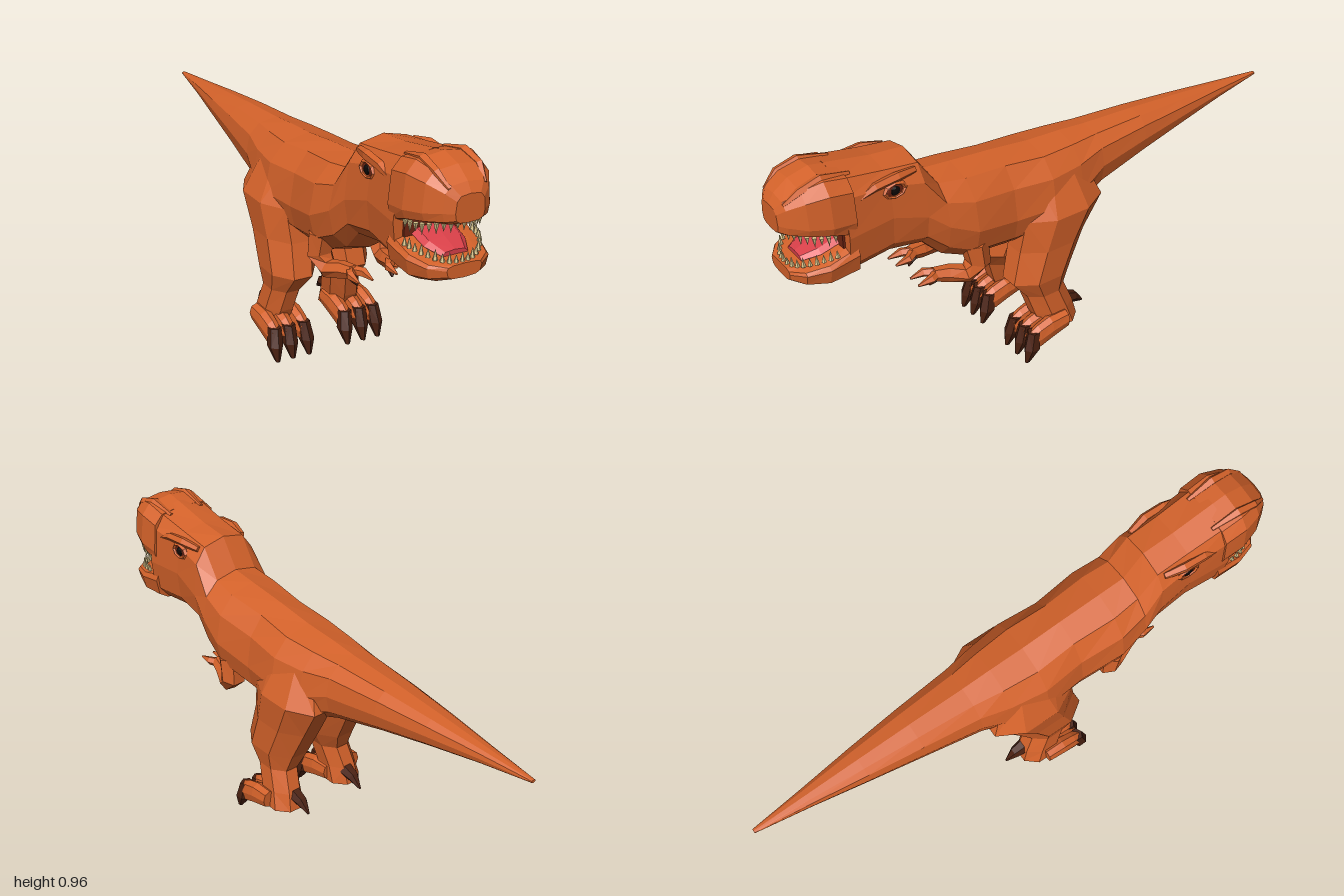
import * as THREE from 'three';

const mat = (color, side = THREE.FrontSide) => new THREE.MeshStandardMaterial({ color, flatShading: true, side });
const SKIN = mat(0xd4622a), CLAW = mat(0x4a2010), TOOTH = mat(0xd8c48a),
  TONGUE = mat(0xd83f48), LINING = mat(0x6e2412), BLACK = mat(0x0c0806);

// Skin between rings of equal point count, with fan caps; faces are turned outward by signed volume
function loft(rings) {
  const n = rings[0].length, pos = [], idx = [];
  rings.forEach(r => r.forEach(p => pos.push(...p)));
  for (let i = 0; i < rings.length - 1; i++)
    for (let j = 0; j < n; j++) {
      const a = i * n + j, b = i * n + (j + 1) % n;
      idx.push(a, b, a + n, b, b + n, a + n);
    }
  const last = (rings.length - 1) * n;
  for (let j = 1; j < n - 1; j++) idx.push(0, j + 1, j, last, last + j, last + j + 1);
  const v = i => new THREE.Vector3().fromArray(pos, i * 3);
  let volume = 0;
  for (let i = 0; i < idx.length; i += 3) volume += v(idx[i]).dot(v(idx[i + 1]).cross(v(idx[i + 2])));
  if (volume < 0) idx.reverse();
  const g = new THREE.BufferGeometry();
  g.setAttribute('position', new THREE.Float32BufferAttribute(pos, 3));
  g.setIndex(idx);
  g.computeVertexNormals();
  return g;
}

function add(parent, name, geometry, material) {
  const m = new THREE.Mesh(geometry, material);
  m.name = name;
  parent.add(m);
  return m;
}

const pw = (v, e) => Math.sign(v) * Math.pow(Math.abs(v), e);

// Upright ring: half width w, separate heights above and below the widest level; small e is squarer
function ringZ([z, top, bottom, w, mid = (top + bottom) / 2, e = 0.85], x = 0, n = 12) {
  return Array.from({ length: n }, (_, i) => {
    const a = (i / n) * Math.PI * 2, s = pw(Math.sin(a), e);
    return [x + w * pw(Math.cos(a), e), mid + s * (s > 0 ? top - mid : mid - bottom), z];
  });
}

// Level ring from its inner, outer, back and front limits
function ringY([y, xin, xout, zb, zf], side, n = 8) {
  return Array.from({ length: n }, (_, i) => {
    const a = ((i + 0.5) / n) * Math.PI * 2;
    return [side * ((xin + xout) / 2 + (xout - xin) / 2 * Math.cos(a) * 1.08),
      y, (zb + zf) / 2 + (zf - zb) / 2 * Math.sin(a) * 1.08];
  });
}

// Limb along a path of [x, y, z, radius]
function limb(path, side, n = 6) {
  const pts = path.map(p => new THREE.Vector3(side * p[0], p[1], p[2]));
  return loft(path.map((p, i) => {
    const dir = pts[Math.min(i + 1, pts.length - 1)].clone().sub(pts[Math.max(i - 1, 0)]).normalize();
    const u = new THREE.Vector3(1, 0, 0).addScaledVector(dir, -dir.x).normalize();
    const w = dir.clone().cross(u);
    return Array.from({ length: n }, (_, j) => {
      const a = (j / n) * Math.PI * 2;
      return pts[i].clone().addScaledVector(u, p[3] * Math.cos(a)).addScaledVector(w, p[3] * Math.sin(a)).toArray();
    });
  }));
}

function addLeg(parent, side) {
  const leg = new THREE.Group();
  leg.name = side > 0 ? 'leftLeg' : 'rightLeg';
  parent.add(leg);
  add(leg, 'thighAndShin', loft([
    [0.68, 0.05, 0.125, -0.10, 0.10], [0.54, 0.02, 0.193, -0.16, 0.16], [0.42, 0.008, 0.185, -0.09, 0.18],
    [0.30, 0.022, 0.187, -0.03, 0.21], [0.23, 0.058, 0.175, 0, 0.155],
    [0.15, 0.07, 0.185, -0.03, 0.13], [0.085, 0.07, 0.195, -0.045, 0.10]
  ].map(r => ringY(r, side))), SKIN);
  // Three front toes, each ending in a hooked claw
  [0.083, 0.14, 0.193].forEach((x, i) => {
    const spread = (i - 1) * 0.006;
    add(leg, 'toe', loft([
      [0.03, 0.15, 0.085, 0.028], [0.10, 0.15, 0.065, 0.03], [0.15, 0.135, 0.045, 0.027], [0.185, 0.115, 0.05, 0.022]
    ].map(r => ringZ(r, side * x, 8))), SKIN);
    add(leg, 'claw', loft([
      [0.118, x - 0.022, x + 0.022, 0.145, 0.188], [0.055, x - 0.025 + spread, x + 0.025 + spread, 0.15, 0.208],
      [0.002, x - 0.008 + spread, x + 0.008 + spread, 0.192, 0.209]
    ].map(r => ringY(r, side, 6))), CLAW);
  });
  add(leg, 'heelClaw', limb([[0.12, 0.135, -0.02, 0.028], [0.12, 0.125, -0.06, 0.022], [0.12, 0.092, -0.10, 0.004]], side), CLAW);
}

function addArm(parent, side) {
  const arm = new THREE.Group();
  arm.name = side > 0 ? 'leftArm' : 'rightArm';
  parent.add(arm);
  add(arm, 'upperArmAndForearm', limb([
    [0.11, 0.53, 0.35, 0.05], [0.115, 0.45, 0.34, 0.045], [0.105, 0.41, 0.38, 0.034],
    [0.085, 0.425, 0.44, 0.03], [0.075, 0.435, 0.49, 0.024]], side), SKIN);
  [0.045, 0.095].forEach(x => {
    add(arm, 'finger', limb([[0.075, 0.435, 0.47, 0.018], [x, 0.435, 0.51, 0.016], [x, 0.43, 0.56, 0.004]], side, 5), SKIN);
  });
  add(arm, 'thumbClaw', limb([[0.075, 0.425, 0.46, 0.016], [0.07, 0.405, 0.49, 0.012], [0.065, 0.39, 0.50, 0.003]], side, 5), CLAW);
}

function addEye(parent, side) {
  const eye = new THREE.Group();
  eye.name = side > 0 ? 'leftEye' : 'rightEye';
  eye.position.set(side * 0.116, 0.842, 0.635);
  parent.add(eye);
  const lid = add(eye, 'eyelid', new THREE.TorusGeometry(0.034, 0.009, 4, 8).rotateY(Math.PI / 2), SKIN);
  lid.scale.set(1, 0.72, 1.1);
  const socket = add(eye, 'eyeSocket', new THREE.SphereGeometry(0.032, 8, 6), LINING);
  socket.scale.set(0.22, 0.7, 1.1);
  const ball = add(eye, 'eyeball', new THREE.SphereGeometry(0.02, 8, 6), BLACK);
  ball.scale.set(0.55, 0.9, 1);
  // Ridge above the eye
  add(parent, 'brow', limb([[0.095, 0.875, 0.55, 0.012], [0.11, 0.882, 0.62, 0.017],
    [0.112, 0.875, 0.70, 0.016], [0.115, 0.85, 0.77, 0.006]], side, 5), SKIN);
}

function addTeeth(parent, name, baseY, rise, dir) {
  const row = new THREE.Group();
  row.name = name;
  parent.add(row);
  const count = 19;
  for (let i = 0; i < count; i++) {
    const a = (i / (count - 1) - 0.5) * Math.PI * 0.98, s = Math.sin(a);
    const h = i % 2 ? 0.036 : 0.028;
    const t = add(row, 'tooth', new THREE.ConeGeometry(0.0085, h, 5), TOOTH);
    if (dir < 0) t.rotation.x = Math.PI;
    t.position.set(0.118 * s, baseY + rise * s * s + dir * h * 0.4, 0.845 + 0.128 * Math.cos(a));
  }
}

export function createModel() {
  const model = new THREE.Group();
  model.name = 'dinosaur';

  // Tail, trunk, neck and skull in one skin
  add(model, 'body', loft([
    [-1, 0.685, 0.675, 0.008], [-0.8, 0.70, 0.643, 0.035], [-0.6, 0.716, 0.605, 0.065],
    [-0.4, 0.73, 0.562, 0.092], [-0.19, 0.74, 0.508, 0.118], [-0.08, 0.75, 0.47, 0.145, 0.58],
    [0.05, 0.757, 0.435, 0.165, 0.57], [0.2, 0.775, 0.43, 0.15, 0.57], [0.36, 0.79, 0.45, 0.165, 0.60],
    [0.46, 0.80, 0.495, 0.15, 0.65], [0.53, 0.905, 0.575, 0.135, 0.71, 0.7],
    [0.65, 0.917, 0.597, 0.127, 0.75, 0.6], [0.81, 0.948, 0.58, 0.134, 0.74, 0.6]
  ].map(r => ringZ(r))), SKIN);

  add(model, 'upperJaw', loft([
    [0.78, 0.94, 0.72, 0.136, 0.79, 0.55], [0.86, 0.957, 0.757, 0.138, 0.80, 0.55], [0.93, 0.94, 0.772, 0.116, 0.81, 0.55],
    [0.98, 0.905, 0.78, 0.08, 0.82, 0.55], [1.0, 0.875, 0.787, 0.05, 0.82, 0.6]
  ].map(r => ringZ(r))), SKIN);

  add(model, 'lowerJaw', loft([
    [0.78, 0.705, 0.582, 0.136, 0.67, 0.6], [0.88, 0.672, 0.575, 0.132, 0.65, 0.6],
    [0.95, 0.66, 0.595, 0.108, 0.645, 0.6], [0.985, 0.655, 0.61, 0.06, 0.64, 0.6]
  ].map(r => ringZ(r))), SKIN);

  // Mouth interior
  add(model, 'mouthLining', new THREE.BoxGeometry(0.2, 0.075, 0.02).translate(0, 0.728, 0.808), LINING);
  add(model, 'tongue', loft([
    [0.80, 0.722, 0.68, 0.075], [0.88, 0.698, 0.66, 0.072], [0.935, 0.678, 0.65, 0.045]
  ].map(r => ringZ(r, 0, 8))), TONGUE);
  addTeeth(model, 'upperTeeth', 0.783, -0.022, -1);
  addTeeth(model, 'lowerTeeth', 0.655, 0.03, 1);

  for (const side of [1, -1]) {
    addLeg(model, side);
    addArm(model, side);
    addEye(model, side);
    // Raised corner of the snout
    add(model, 'snoutRidge', limb([[0.065, 0.925, 0.76, 0.008], [0.07, 0.942, 0.86, 0.018],
      [0.072, 0.925, 0.93, 0.015], [0.06, 0.89, 0.98, 0.006]], side, 5), SKIN);
  }
  return model;
}
